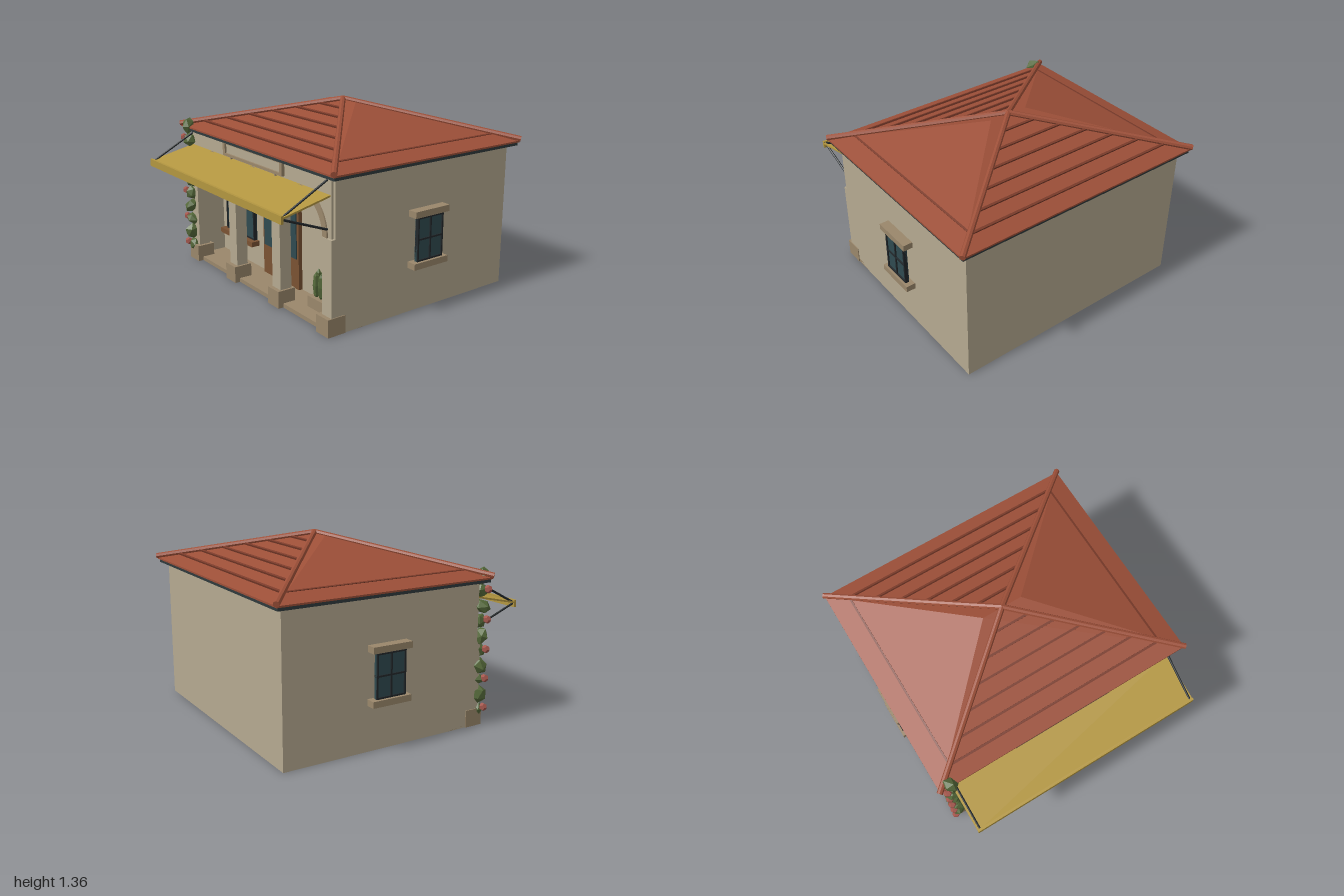
import * as THREE from 'three';
import { ConvexGeometry } from 'three/addons/geometries/ConvexGeometry.js';

const mat = (color, extra = {}) => new THREE.MeshStandardMaterial({ color, flatShading: true, ...extra });
const M = {
  wall: mat(0xb5a990), trim: mat(0x9a876b), roof: mat(0x9c4f38), tile: mat(0x7a3b2a),
  dark: mat(0x22282b), fascia: mat(0x2f3a3c), glass: mat(0x2f4a50), wood: mat(0x7a5233),
  awning: mat(0xb39640, { side: THREE.DoubleSide }), leaf: mat(0x55693a), flower: mat(0xa3564c),
};
const V = (x, y, z) => new THREE.Vector3(x, y, z);

function add(parent, name, geo, material, pos = [0, 0, 0]) {
  const m = new THREE.Mesh(geo, material);
  m.name = name;
  m.position.set(...pos);
  parent.add(m);
  return m;
}

// Box given by its minimum and maximum on each axis
function box(parent, name, material, x0, x1, y0, y1, z0, z1) {
  return add(parent, name, new THREE.BoxGeometry(x1 - x0, y1 - y0, z1 - z0), material,
    [(x0 + x1) / 2, (y0 + y1) / 2, (z0 + z1) / 2]);
}

// Round bar between two points
function bar(parent, name, material, a, b, r, sides = 8) {
  const m = add(parent, name, new THREE.CylinderGeometry(r, r, a.distanceTo(b), sides), material);
  m.position.copy(a).lerp(b, 0.5);
  m.quaternion.setFromUnitVectors(V(0, 1, 0), b.clone().sub(a).normalize());
  return m;
}

function group(parent, name) {
  const g = new THREE.Group();
  g.name = name;
  parent.add(g);
  return g;
}

// Four-pane window facing +z, centred on x = 0, back at z = 0
function windowUnit(parent, name, w, y0, y1, depth) {
  const g = group(parent, name), h = w / 2, t = 0.012, ym = (y0 + y1) / 2;
  box(g, 'glass', M.glass, -h, h, y0, y1, 0, depth * 0.7);
  for (const x of [-h + t / 2, 0, h - t / 2]) box(g, 'upright', M.dark, x - t / 2, x + t / 2, y0, y1, 0, depth);
  for (const y of [y0 + t / 2, ym, y1 - t / 2]) box(g, 'crossbar', M.dark, -h, h, y - t / 2, y + t / 2, 0, depth);
  return g;
}

const ARCHES = [-0.58, 0, 0.58], SPRING = 0.65, R = 0.24, FRONT = 0.635, RECESS = 0.39;

function buildWalls(root) {
  const g = group(root, 'walls');
  box(g, 'mainBody', M.wall, -0.92, 0.92, 0, 1.05, -0.92, RECESS);
  box(g, 'porchFloor', M.trim, -0.92, 0.92, 0, 0.03, RECESS, 0.64);
  box(g, 'porchCeiling', M.wall, -0.9, 0.9, 1.0, 1.05, RECESS, 0.6);
  for (const s of [-1, 1]) {
    const x = s * 0.9;
    box(g, 'porchSideWall', M.wall, x - 0.02, x + 0.02, 0, 1.05, RECESS, 0.62);
  }

  // Arcade wall with three round arches
  const s = new THREE.Shape();
  s.moveTo(-0.9, 1.05);
  s.lineTo(-0.9, SPRING);
  for (const c of ARCHES) {
    s.lineTo(c - R, SPRING);
    s.absarc(c, SPRING, R, Math.PI, 0, true);
  }
  s.lineTo(0.9, SPRING);
  s.lineTo(0.9, 1.05);
  add(g, 'arcade', new THREE.ExtrudeGeometry(s, { depth: FRONT - 0.56, bevelEnabled: false, curveSegments: 16 }), M.wall, [0, 0, 0.56]);

  // Raised arch rings
  const ring = new THREE.Shape();
  ring.absarc(0, 0, R + 0.045, 0, Math.PI, false);
  ring.absarc(0, 0, R - 0.004, Math.PI, 0, true);
  const ringGeo = new THREE.ExtrudeGeometry(ring, { depth: 0.09, bevelEnabled: false, curveSegments: 16 });
  for (const c of ARCHES) add(g, 'archRing', ringGeo, M.trim, [c, SPRING, 0.555]);

  // Columns on square bases
  for (const x of [-0.87, -0.29, 0.29, 0.87]) {
    const b = Math.sign(x) * (Math.abs(x) > 0.5 ? 0.86 : 0.29);
    box(g, 'column', M.wall, x - 0.05, x + 0.05, 0.1, SPRING, 0.56, 0.65);
    box(g, 'columnBase', M.trim, b - 0.066, b + 0.066, 0, 0.125, 0.54, 0.68);
  }
}

function buildRoof(root) {
  const g = group(root, 'roof');
  const eave = 1.08, ridge = 1.325, hx = 0.985, hz = 0.83, cz = -0.15;
  box(g, 'fascia', M.fascia, -0.975, 0.975, 1.045, eave, cz - 0.82, cz + 0.82);
  const pts = [V(-0.15, ridge, cz), V(0.15, ridge, cz)];
  for (const sx of [-1, 1]) for (const sz of [-1, 1]) {
    const c = V(sx * hx, eave, cz + sz * hz);
    pts.push(c, c.clone().setY(eave - 0.012));
    bar(g, 'hipRidge', M.roof, V(sx * 0.99, eave + 0.012, cz + sz * 0.835), V(0, 1.335, cz), 0.021);
  }
  add(g, 'roofSlopes', new ConvexGeometry(pts), M.roof);

  // Horizontal tile courses on the front and back
  for (const s of [-1, 1]) {
    for (let i = 0; i < 6; i++) {
      const d = 0.71 - i * 0.118, len = 2 * hx * d / hz;
      const y = eave + (ridge - eave) * (1 - d / hz);
      const m = add(g, 'tileCourse', new THREE.BoxGeometry(len, 0.02, 0.016), M.tile, [0, y + 0.003, cz + s * d]);
      m.rotation.x = s * Math.atan((ridge - eave) / hz);
    }
    const m = add(g, 'sideCourse', new THREE.BoxGeometry(0.014, 0.012, 1.38), M.tile, [s * 0.84, 1.121, cz]);
    m.rotation.z = -s * 0.28;
  }
}

function buildFront(root) {
  // Double door
  const door = group(root, 'door');
  box(door, 'doorLeaf', M.wood, -0.23, 0.23, 0.03, 0.82, RECESS, RECESS + 0.03);
  for (const x of [-0.12, 0.12]) box(door, 'doorGlass', M.glass, x - 0.088, x + 0.088, 0.26, 0.77, RECESS, RECESS + 0.038);

  // Shop window
  const w = windowUnit(root, 'shopWindow', 0.41, 0.235, 0.7, 0.03);
  w.position.set(-0.575, 0, RECESS);
  box(w, 'sill', M.wood, -0.235, 0.235, 0.2, 0.238, 0, 0.07);
  box(w, 'lintel', M.trim, -0.215, 0.215, 0.7, 0.745, 0, 0.05);

  // Sign frame without lettering
  const sign = group(root, 'signBoard');
  box(sign, 'panel', M.wall, -0.37, 0.37, 0.955, 1.04, 0.62, 0.645);
  for (const [y0, y1] of [[0.947, 0.967], [1.035, 1.046]]) box(sign, 'rail', M.trim, -0.385, 0.385, y0, y1, 0.62, 0.658);
  for (const s of [-1, 1]) {
    box(sign, 'stile', M.trim, s * 0.37 - 0.015, s * 0.37 + 0.015, 0.947, 1.046, 0.62, 0.658);
    box(sign, 'bracket', M.trim, s * 0.29 - 0.008, s * 0.29 + 0.008, 0.925, 0.95, 0.62, 0.65);
  }

  // Sloping awning with valance and struts
  const a = group(root, 'awning');
  const len = Math.hypot(0.36, 0.08);
  const sheet = add(a, 'canopy', new THREE.BoxGeometry(1.78, 0.012, len), M.awning, [0, 0.89, 0.81]);
  sheet.rotation.x = Math.atan2(0.08, 0.36);
  box(a, 'valance', M.awning, -0.89, 0.89, 0.815, 0.868, 0.982, 1.0);
  for (const x of [-0.87, 0.87]) {
    bar(a, 'upperStrut', M.dark, V(x, 1.03, 0.645), V(x, 0.85, 0.985), 0.008, 6);
    bar(a, 'lowerStrut', M.dark, V(x, 0.71, 0.645), V(x, 0.84, 0.985), 0.008, 6);
  }

  // Planter with pointed leaves
  const p = group(root, 'planter');
  p.position.set(0.575, 0, 0.47);
  box(p, 'pot', M.trim, -0.082, 0.082, 0.03, 0.11, -0.06, 0.06);
  for (let i = 0; i < 5; i++) {
    const leaf = add(p, 'leaf', new THREE.SphereGeometry(0.1, 5, 4), M.leaf,
      [-0.054 + i * 0.027, 0.2 - (i % 2) * 0.005, (i % 2 ? 0.025 : -0.015)]);
    leaf.scale.set(0.26, 1, 0.26);
    leaf.rotation.y = i;
  }
}

function buildSideWindows(root) {
  for (const s of [-1, 1]) {
    const w = windowUnit(root, s > 0 ? 'leftWindow' : 'rightWindow', 0.23, 0.37, 0.68, 0.03);
    w.position.set(s * 0.945, 0, -0.145);
    w.rotation.y = s * Math.PI / 2;
    box(w, 'lintel', M.trim, -0.152, 0.152, 0.685, 0.73, -0.03, 0.045);
    box(w, 'sill', M.trim, -0.152, 0.152, 0.322, 0.367, -0.03, 0.045);
  }
}

// Climbing plant on the front corner
function buildVine(root) {
  const g = group(root, 'vine');
  for (let i = 0; i < 10; i++) {
    const big = i % 2 === 1;
    const y = 0.118 + i * 0.107;
    const b = add(g, 'foliage', new THREE.IcosahedronGeometry(big ? 0.068 : 0.055, 0), M.leaf,
      [big ? -0.905 : -0.893, y, 0.66]);
    b.scale.z = 0.7;
    b.rotation.set(i * 0.7, i * 1.3, 0);
    if (!big) add(g, 'flower', new THREE.DodecahedronGeometry(0.03, 0), M.flower, [-0.938, y + 0.015, 0.685]);
  }
}

export function createModel() {
  const root = new THREE.Group();
  root.name = 'shopHouse';
  buildWalls(root);
  buildRoof(root);
  buildFront(root);
  buildSideWindows(root);
  buildVine(root);
  return root;
}
